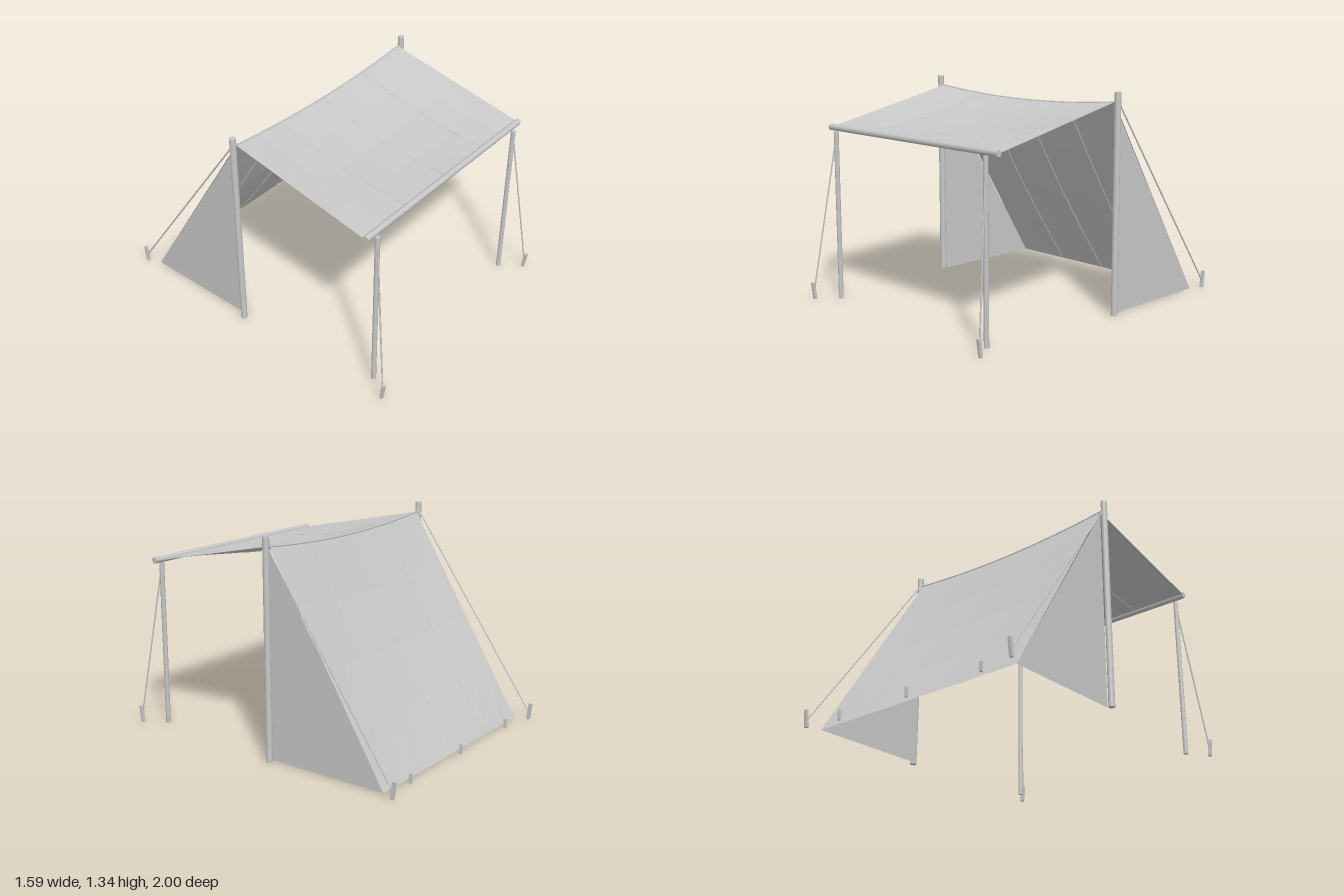
import * as THREE from 'three';

const canvasGrey = new THREE.MeshStandardMaterial({ color: 0xc8c8c8, side: THREE.DoubleSide });
canvasGrey.name = 'light grey';

const HALF = 0.75, RIDGE_Z = -0.105;
const V = (x, y, z) => new THREE.Vector3(x, y, z);

// ridge line dips towards the middle
const ridge = x => V(x, 1.238 + 0.04 * (x / HALF) ** 2, RIDGE_Z);
const belly = (x, t) => Math.sin(Math.PI * t) * (1 - (x / HALF) ** 2);

// cloth surfaces, t runs from ridge to hem
const canopyAt = (x, t) => {
  const p = ridge(x).lerp(V(x, 1.08, 0.82), t);
  p.y -= 0.042 * belly(x, t);
  return p;
};
const backAt = (x, t) => {
  const p = ridge(x).lerp(V(x, 0.002, -0.895), t);
  p.y -= 0.015 * belly(x, t);
  p.z += 0.022 * belly(x, t);
  return p;
};

export function createModel() {
  const model = new THREE.Group();
  model.name = 'leanToTent';

  const add = (name, geometry) => {
    const mesh = new THREE.Mesh(geometry, canvasGrey);
    mesh.name = name;
    model.add(mesh);
    return mesh;
  };

  // straight round bar between two points
  const bar = (name, a, b, r, sides = 8) => {
    const mesh = add(name, new THREE.CylinderGeometry(r, r, a.distanceTo(b), sides));
    mesh.position.copy(a).add(b).multiplyScalar(0.5);
    mesh.quaternion.setFromUnitVectors(V(0, 1, 0), b.clone().sub(a).normalize());
  };

  // faceted cloth sheet from a surface function
  const sheet = (name, at) => {
    const plane = new THREE.PlaneGeometry(1, 1, 8, 4);
    const pos = plane.attributes.position, uv = plane.attributes.uv;
    for (let i = 0; i < pos.count; i++) {
      const p = at((uv.getX(i) * 2 - 1) * HALF, 1 - uv.getY(i));
      pos.setXYZ(i, p.x, p.y, p.z);
    }
    const flat = plane.toNonIndexed();
    flat.computeVertexNormals();
    add(name, flat);
  };

  const cord = (name, points, r) =>
    add(name, new THREE.TubeGeometry(new THREE.CatmullRomCurve3(points), 12, r, 6));

  // cloth; the back sheet is mirrored in x so its front faces outwards
  sheet('canopy', canopyAt);
  sheet('backWall', (x, t) => backAt(-x, t));

  // seams on both sheets
  for (const x of [-0.375, 0, 0.375]) {
    for (const [name, at] of [['canopySeam', canopyAt], ['backSeam', backAt]]) {
      const points = [];
      for (let i = 0; i <= 4; i++) points.push(at(x, i / 4));
      cord(name, points, 0.004);
    }
  }

  // sagging ridge rope
  const ridgePoints = [];
  for (let i = 0; i <= 8; i++) ridgePoints.push(ridge((i / 4 - 1) * 0.77));
  cord('ridgeRope', ridgePoints, 0.006);

  // front edge pole
  bar('frontEdgePole', V(-HALF, 1.08, 0.825), V(HALF, 1.08, 0.825), 0.02, 10);

  for (const s of [-1, 1]) {
    // triangular side wall
    const side = new THREE.Shape([
      new THREE.Vector2(RIDGE_Z, 0.002),
      new THREE.Vector2(RIDGE_Z, 1.265),
      new THREE.Vector2(-0.895, 0.002),
    ]);
    const wall = add('sideWall', new THREE.ShapeGeometry(side));
    wall.rotation.y = -Math.PI / 2;
    wall.position.x = s * HALF;

    // upright posts
    bar('ridgePost', V(s * 0.777, 0, RIDGE_Z + 0.003), V(s * 0.777, 1.34, RIDGE_Z + 0.003), 0.02, 10);
    bar('frontPost', V(s * 0.67, 0, 0.845), V(s * 0.67, 1.06, 0.845), 0.015);

    // guy ropes
    bar('frontGuyRope', V(s * 0.67, 1.04, 0.845), V(s * 0.762, 0.06, 0.982), 0.005, 6);
    bar('backGuyRope', V(s * 0.777, 1.28, -0.11), V(s * 0.784, 0.05, -0.978), 0.005, 6);

    // leaning guy stakes
    for (const [x, z, lean] of [[0.764, 0.983, 0.13], [0.784, -0.983, -0.13]]) {
      const stake = add('guyStake', new THREE.BoxGeometry(0.02, 0.108, 0.018));
      stake.position.set(s * x, 0.055, z);
      stake.rotation.x = lean;
    }
  }

  // small stakes behind the rear hem
  for (const x of [-0.545, 0, 0.545]) {
    const stake = add('hemStake', new THREE.BoxGeometry(0.016, 0.06, 0.014));
    stake.position.set(x, 0.032, -0.937);
  }

  return model;
}
